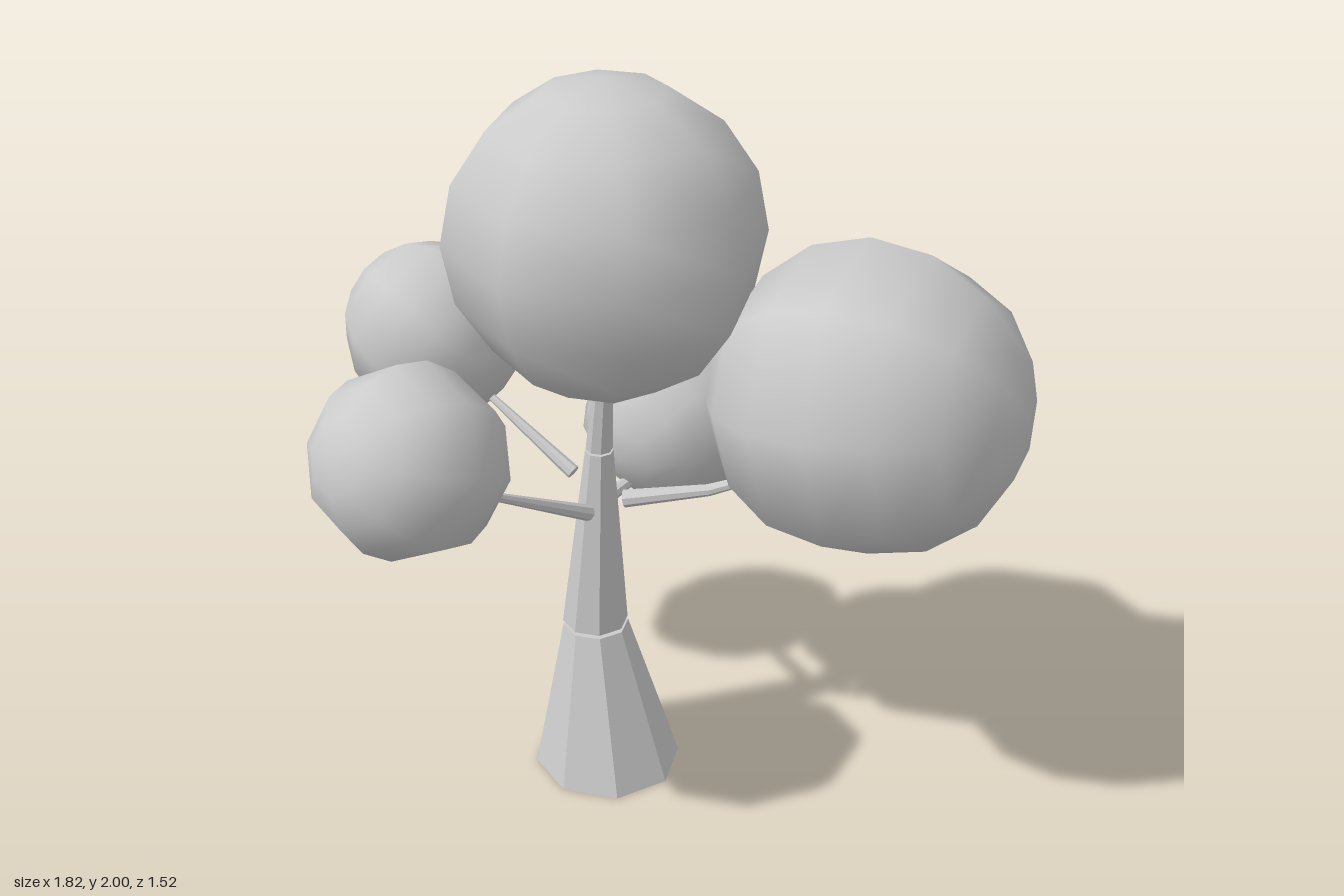
import * as THREE from 'three';

const UP = new THREE.Vector3(0, 1, 0);
const smooth = new THREE.MeshStandardMaterial({ color: 0xcccccc });
const faceted = new THREE.MeshStandardMaterial({ color: 0xcccccc, flatShading: true });

// Tapered section whose ends stay level, leaning by shearing towards its top
function trunkSection(name, bottom, top, r0, r1) {
  const h = top[1] - bottom[1];
  const geo = new THREE.CylinderGeometry(r1, r0, h, 8);
  geo.translate(0, h / 2, 0);
  const pos = geo.attributes.position;
  for (let i = 0; i < pos.count; i++) {
    const t = pos.getY(i) / h;
    pos.setX(i, pos.getX(i) + (top[0] - bottom[0]) * t);
    pos.setZ(i, pos.getZ(i) + (top[2] - bottom[2]) * t);
  }
  geo.computeVertexNormals();
  const mesh = new THREE.Mesh(geo, faceted);
  mesh.name = name;
  mesh.position.set(...bottom);
  return mesh;
}

// Thin tapered stick between two points
function branch(name, from, to, r0, r1) {
  const a = new THREE.Vector3(...from);
  const b = new THREE.Vector3(...to);
  const dir = b.clone().sub(a);
  const mesh = new THREE.Mesh(new THREE.CylinderGeometry(r1, r0, dir.length(), 8), faceted);
  mesh.name = name;
  mesh.position.copy(a).add(b).multiplyScalar(0.5);
  mesh.quaternion.setFromUnitVectors(UP, dir.normalize());
  return mesh;
}

// Coarse smooth ball with its pole turned along an axis
function foliage(name, center, radius, axis) {
  const mesh = new THREE.Mesh(new THREE.SphereGeometry(radius, 8, 8), smooth);
  mesh.name = name;
  mesh.position.set(...center);
  mesh.quaternion.setFromUnitVectors(UP, new THREE.Vector3(...axis).normalize());
  return mesh;
}

export function createModel() {
  const tree = new THREE.Group();
  tree.name = 'tree';

  // Trunk in three sections with a narrow gap between them
  tree.add(
    trunkSection('trunkBase', [-0.11, 0, -0.085], [-0.155, 0.435, -0.09], 0.203, 0.09),
    trunkSection('trunkMiddle', [-0.157, 0.445, -0.09], [-0.14, 0.98, -0.09], 0.09, 0.038),
    trunkSection('trunkTop', [-0.14, 0.985, -0.09], [-0.1, 1.35, -0.07], 0.036, 0.02),
  );

  // Branches
  tree.add(
    branch('frontBranch', [-0.13, 0.82, -0.03], [-0.2, 1.05, 0.38], 0.022, 0.008),
    branch('rightBranch', [-0.22, 0.89, -0.08], [-0.5, 1.05, -0.06], 0.02, 0.01),
    branch('backBranch', [-0.14, 0.82, -0.12], [-0.14, 0.84, -0.36], 0.02, 0.012),
    branch('leftBranchInner', [-0.08, 0.84, -0.12], [0.12, 0.89, -0.22], 0.024, 0.016),
    branch('leftBranchOuter', [0.12, 0.89, -0.22], [0.32, 0.99, -0.29], 0.016, 0.01),
  );

  // Foliage balls
  tree.add(
    foliage('topFoliage', [-0.1, 1.595, -0.07], 0.407, [0, 1, 0]),
    foliage('leftFoliage', [0.502, 1.22, -0.36], 0.41, [1, 0.12, -0.15]),
    foliage('rightFoliage', [-0.668, 1.195, -0.045], 0.246, [-1, 0.5, 0.05]),
    foliage('frontFoliage', [-0.24, 1.18, 0.517], 0.246, [-0.15, 0.45, 1]),
    foliage('backFoliage', [-0.138, 0.965, -0.41], 0.246, [0, 0.2, -1]),
  );
  return tree;
}
